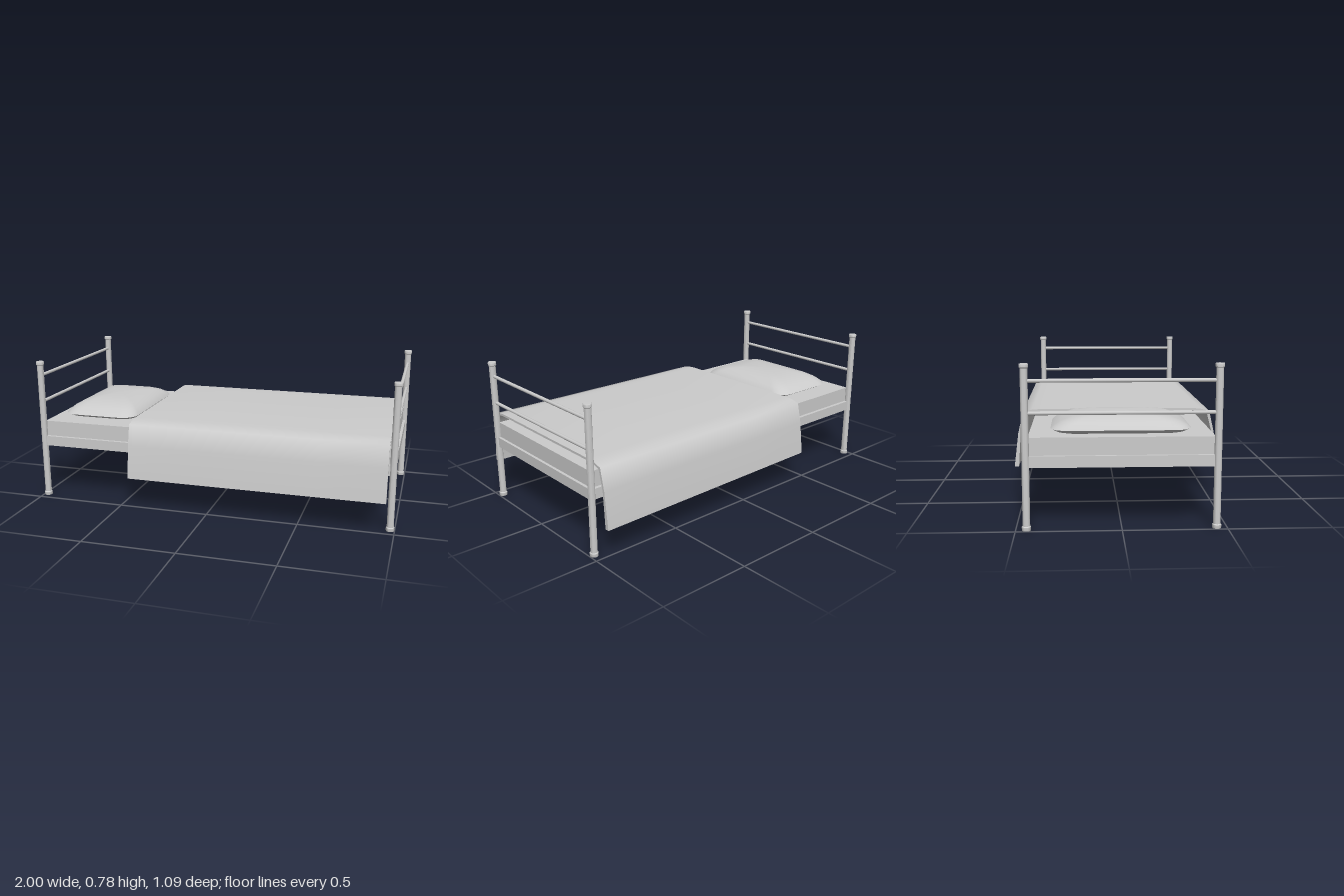
import * as THREE from 'three';
import { toCreasedNormals, mergeVertices } from 'three/addons/utils/BufferGeometryUtils.js';

const metal = new THREE.MeshStandardMaterial({ color: 0xcccccc });

function add(parent, name, geometry, x = 0, y = 0, z = 0) {
  const mesh = new THREE.Mesh(geometry, metal);
  mesh.name = name;
  mesh.position.set(x, y, z);
  parent.add(mesh);
  return mesh;
}

// Round bar running across the bed, along z
const crossBar = (radius, length) =>
  new THREE.CylinderGeometry(radius, radius, length, 12).rotateX(Math.PI / 2);

// Post with a wider foot and cap, as one turned profile
function postGeometry() {
  const profile = [[0, 0], [0.021, 0], [0.022, 0.003], [0.022, 0.018], [0.018, 0.022],
    [0.018, 0.763], [0.022, 0.767], [0.022, 0.781], [0.02, 0.784], [0, 0.784]];
  const lathe = new THREE.LatheGeometry(profile.map(([r, y]) => new THREE.Vector2(r, y)), 16);
  return toCreasedNormals(lathe, 0.6);
}

// Bedspread: an arched sheet of constant section, back hem dropping slightly
function blanketGeometry() {
  const outer = [[0.4, 0.49], [0.45, 0.486], [0.497, 0.474], [0.523, 0.36], [0.545, 0.18]];
  const inner = [[0.522, 0.18], [0.51, 0.36], [0.484, 0.464], [0.445, 0.475], [0.4, 0.478]];
  const half = [...outer, ...inner];
  const mirror = (points) => points.map(([z, y]) => [-z, y]).reverse();
  const outline = [...half, ...mirror(inner), ...mirror(outer)];
  const shape = new THREE.Shape(outline.map(([z, y]) => new THREE.Vector2(z, y)));
  const g = new THREE.ExtrudeGeometry(shape, { depth: 1.39, steps: 4, bevelEnabled: false });
  g.rotateY(Math.PI / 2).translate(-0.435, 0, 0);
  const p = g.attributes.position;
  for (let i = 0; i < p.count; i++) {
    if (p.getZ(i) < 0 && p.getY(i) < 0.3) {
      p.setY(i, p.getY(i) - 0.015 * (p.getX(i) + 0.435) / 1.39);
    }
  }
  return toCreasedNormals(g, 1.2);
}

// Pillow: stacked rounded-rectangle rings, [scale, y] from underside to crown
function pillowGeometry() {
  const rings = [[0.001, 0.438], [0.82, 0.438], [0.92, 0.445], [1, 0.46], [0.95, 0.475],
    [0.86, 0.492], [0.7, 0.511], [0.4, 0.525], [0.001, 0.529]];
  const halfX = 0.217, halfZ = 0.338, corner = 0.085, steps = 5;
  const outline = [];
  for (let q = 0; q < 4; q++) {
    const sx = q === 0 || q === 3 ? 1 : -1, sz = q < 2 ? 1 : -1;
    for (let i = 0; i <= steps; i++) {
      const a = (q + i / steps) * Math.PI / 2;
      outline.push([sx * (halfX - corner) + corner * Math.cos(a),
        sz * (halfZ - corner) + corner * Math.sin(a)]);
    }
  }
  const n = outline.length, positions = [], index = [];
  for (const [s, y] of rings) for (const [x, z] of outline) positions.push(x * s, y, z * s);
  for (let r = 0; r < rings.length - 1; r++) {
    for (let i = 0; i < n; i++) {
      const a = r * n + i, b = r * n + (i + 1) % n;
      index.push(a, a + n, b, b, a + n, b + n);
    }
  }
  const g = new THREE.BufferGeometry();
  g.setAttribute('position', new THREE.Float32BufferAttribute(positions, 3));
  g.setIndex(index);
  return toCreasedNormals(mergeVertices(g), 0.9);
}

export function createModel() {
  const bed = new THREE.Group();
  bed.name = 'bed';

  // Head and foot ends: two posts and two round rails each
  const post = postGeometry();
  for (const side of [-1, 1]) {
    const end = new THREE.Group();
    end.name = side < 0 ? 'headboard' : 'footboard';
    for (const z of [-0.449, 0.449]) add(end, 'post', post, side * 0.977, 0, z);
    for (const y of [0.555, 0.705]) add(end, 'rail', crossBar(0.009, 0.89), side * 0.977, y, 0);
    bed.add(end);
  }

  // Frame rim with round slats beneath the mattress
  const frame = new THREE.Group();
  frame.name = 'frame';
  for (const s of [-1, 1]) {
    add(frame, 'sideRail', new THREE.BoxGeometry(1.95, 0.055, 0.02), 0, 0.3275, s * 0.447);
    add(frame, 'endRail', new THREE.BoxGeometry(0.02, 0.055, 0.88), s * 0.975, 0.3275, 0);
  }
  const slatCount = 8;
  for (let i = 0; i < slatCount; i++) {
    const x = -0.756 + i * 1.512 / (slatCount - 1);
    add(frame, 'slat', crossBar(0.016, 0.88), x, 0.33, 0);
  }
  bed.add(frame);

  // Bedding
  add(bed, 'mattress', new THREE.BoxGeometry(1.94, 0.087, 0.876), 0, 0.3965, 0);
  add(bed, 'pillow', pillowGeometry(), -0.698, 0, 0.002);
  add(bed, 'blanket', blanketGeometry());

  return bed;
}
